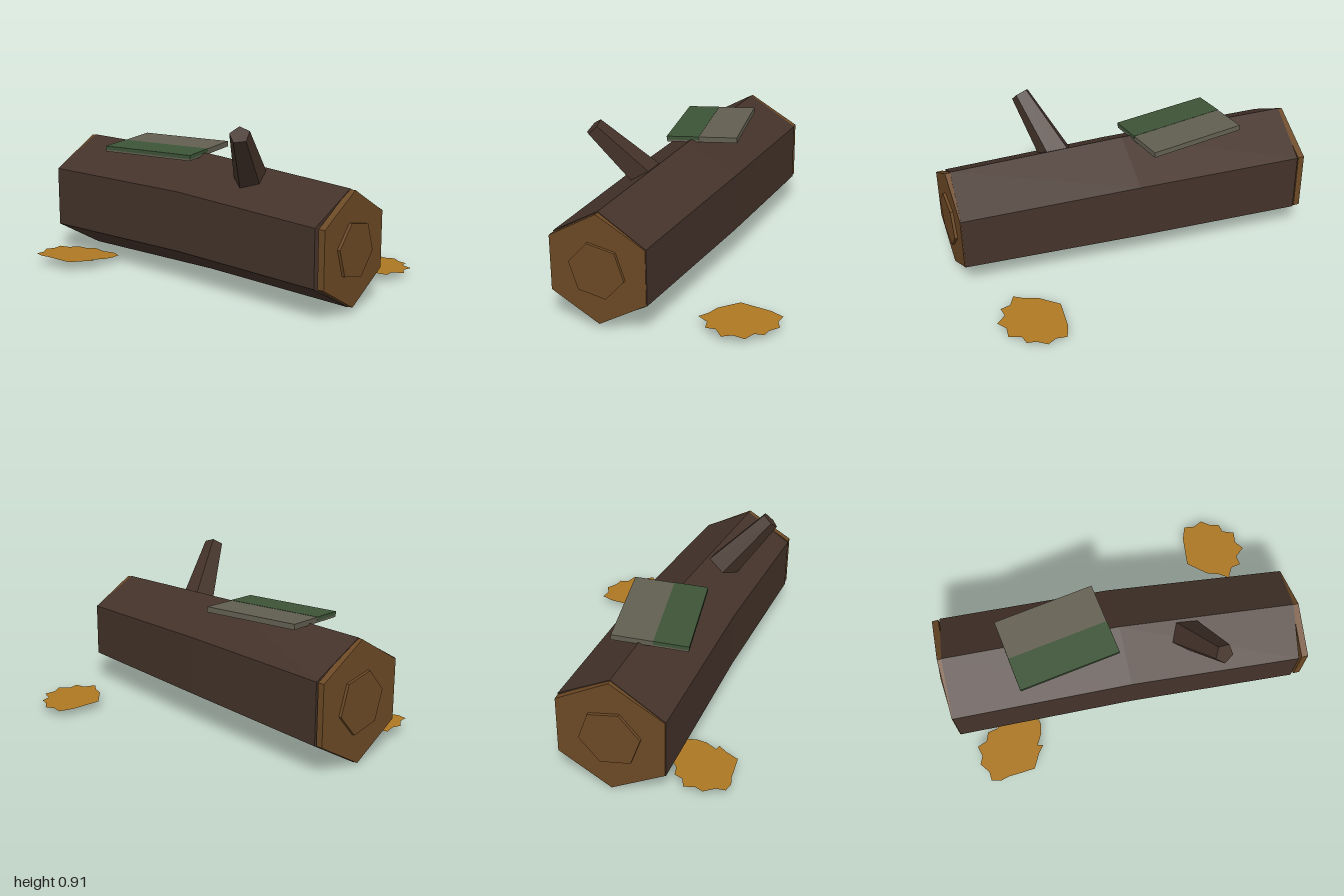
import * as THREE from 'three';

const material = (name, color, side = THREE.FrontSide) => {
  const m = new THREE.MeshStandardMaterial({ color, side });
  m.name = name;
  return m;
};

// Gives every face its own normal, for hard low-poly edges
function facet(geometry) {
  const g = geometry.index ? geometry.toNonIndexed() : geometry;
  g.computeVertexNormals();
  return g;
}

// Hexagonal prism lying along x, with a corner pointing up
const hexPrism = (radius, length, segments = 1) =>
  new THREE.CylinderGeometry(radius, radius, length, 6, segments, false, Math.PI / 2).rotateZ(-Math.PI / 2);

export function createModel() {
  const group = new THREE.Group();
  const bark = material('bark', 0x44332a);
  const wood = material('cutWood', 0x6c4925);
  const moss = material('moss', 0x3d5437);
  const lichen = material('lichen', 0x625f51);
  const leafGold = material('leafGold', 0xae7823, THREE.DoubleSide);

  const add = (name, geometry, mat, parent = group) => {
    const mesh = new THREE.Mesh(geometry, mat);
    mesh.name = name;
    parent.add(mesh);
    return mesh;
  };

  // Bent, tapering trunk: three hexagonal sections with skewed ends
  const sections = [
    { x: -0.96, y: 0.34, z: 0.065, r: 0.335, skew: -0.069 },
    { x: 0, y: 0.35, z: 0.12, r: 0.326, skew: 0 },
    { x: 0.955, y: 0.33, z: 0.21, r: 0.302, skew: -0.096 },
  ];
  const trunk = hexPrism(1, 2, 2);
  const p = trunk.attributes.position;
  for (let i = 0; i < p.count; i++) {
    const s = sections[Math.round(p.getX(i)) + 1];
    const dz = p.getZ(i) * s.r;
    p.setXYZ(i, s.x + s.skew * dz, s.y + p.getY(i) * s.r, s.z + dz);
  }
  add('trunk', facet(trunk), bark);

  // Sawn ends with a raised heartwood disc
  for (const [side, s, discRadius] of [[-1, sections[0], 0.168], [1, sections[2], 0.152]]) {
    const label = side > 0 ? 'left' : 'right';
    const cap = add(label + 'CutEnd', facet(hexPrism(s.r - 0.004, 0.036)), wood);
    cap.position.set(side * 0.966, s.y, s.z);
    const disc = add(label + 'Heartwood', facet(hexPrism(discRadius, 0.03).rotateX(0.32)), wood);
    disc.position.set(side * 0.985, s.y, s.z);
  }

  // Broken branch stub
  const base = new THREE.Vector3(0.325, 0.53, 0.165);
  const tip = new THREE.Vector3(0.467, 0.875, 0.46);
  const axis = tip.clone().sub(base);
  const branch = add('branchStub',
    facet(new THREE.CylinderGeometry(0.054, 0.102, axis.length(), 5)), bark);
  branch.position.copy(base).add(tip).multiplyScalar(0.5);
  branch.quaternion.setFromUnitVectors(new THREE.Vector3(0, 1, 0), axis.normalize());

  // Tilted slab on the ridge, with moss over its front part
  const patch = new THREE.Group();
  patch.name = 'mossPatch';
  patch.position.set(-0.34, 0.677, 0.1);
  patch.rotation.set(0.05, 0.142, 0, 'YXZ');
  group.add(patch);
  add('lichenSlab', new THREE.BoxGeometry(0.56, 0.03, 0.4), lichen, patch);
  add('mossCover', new THREE.BoxGeometry(0.563, 0.02, 0.184), moss, patch).position.set(0, 0.0065, 0.109);

  // Fallen leaves: jagged flat outlines, slightly tilted
  const leaf = (name, outline, height) => {
    const shape = new THREE.Shape(outline.map(([x, z]) => new THREE.Vector2(x, -z)));
    const g = new THREE.ShapeGeometry(shape).rotateX(-Math.PI / 2);
    const q = g.attributes.position;
    for (let i = 0; i < q.count; i++) q.setY(i, height(q.getX(i), q.getZ(i)));
    add(name, facet(g), leafGold);
  };
  leaf('backLeaf', [
    [0.61, -0.635], [0.67, -0.625], [0.72, -0.65], [0.77, -0.61], [0.82, -0.6], [0.83, -0.55],
    [0.895, -0.525], [0.885, -0.46], [0.92, -0.41], [0.865, -0.365], [0.872, -0.31],
    [0.815, -0.3], [0.78, -0.24], [0.73, -0.275], [0.66, -0.3], [0.56, -0.39], [0.58, -0.56],
  ], (x, z) => 0.042 + 0.04 * (z + 0.64));
  leaf('frontLeaf', [
    [-0.53, 0.375], [-0.54, 0.43], [-0.575, 0.49], [-0.545, 0.5], [-0.58, 0.545], [-0.62, 0.622],
    [-0.7, 0.628], [-0.77, 0.632], [-0.82, 0.645], [-0.872, 0.632], [-0.875, 0.58],
    [-0.915, 0.525], [-0.895, 0.48], [-0.91, 0.42], [-0.855, 0.4], [-0.835, 0.35],
    [-0.78, 0.34], [-0.73, 0.3], [-0.66, 0.315], [-0.6, 0.29], [-0.54, 0.31],
  ], (x, z) => 0.057 + 0.04 * (z - 0.47) - 0.03 * (x + 0.72));

  return group;
}
